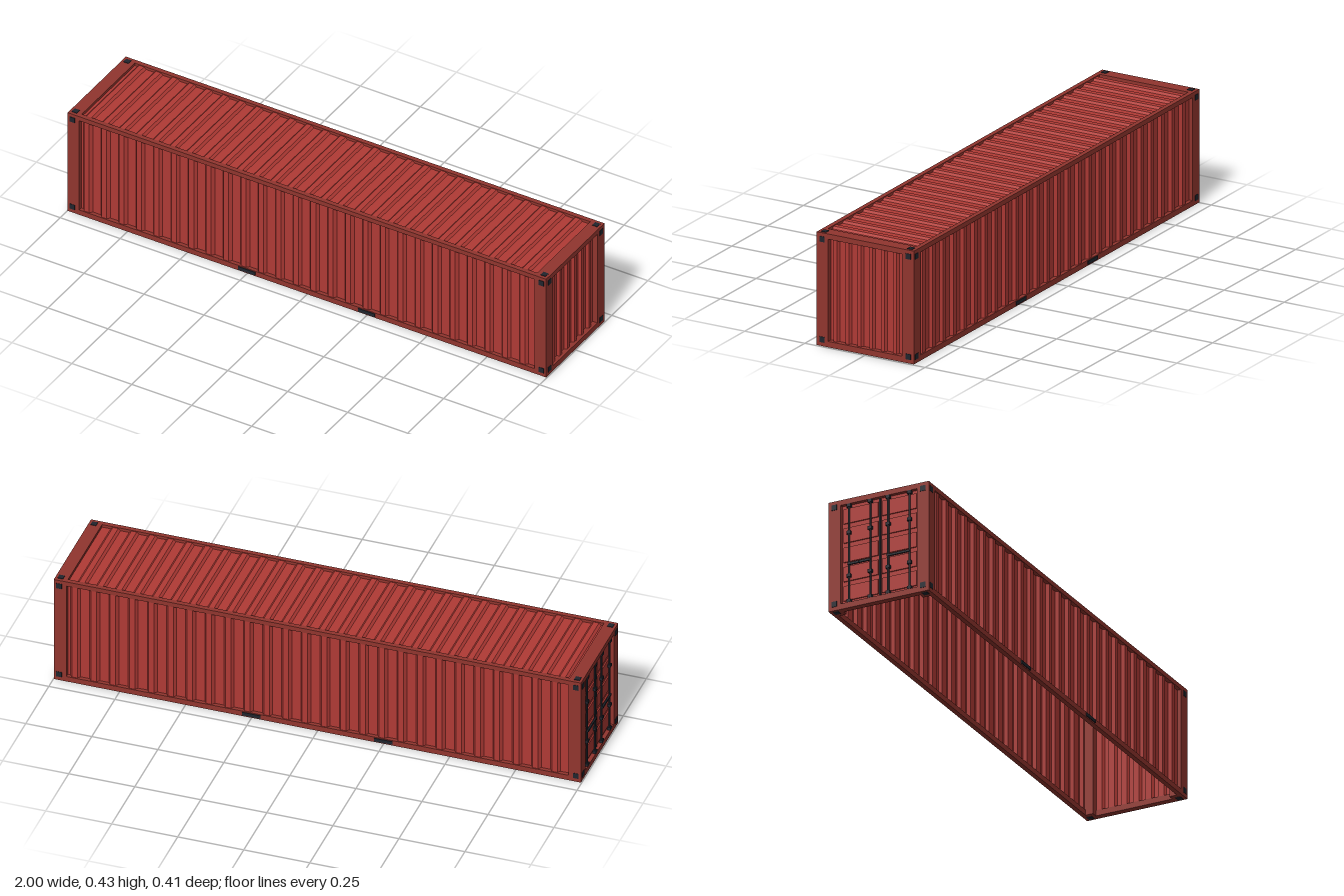
import * as THREE from 'three';

const mat = (name, color, side = THREE.FrontSide) => {
  const m = new THREE.MeshStandardMaterial({ color, side, flatShading: true });
  m.name = name;
  return m;
};

// Corrugated sheet in the xy plane: ribs run along y, the proud faces lie at z = 0
function corrugated(width, height, lead, count, depth) {
  const pitch = (width - lead) / count;
  const profile = [[0, -depth], [lead, -depth]];
  for (let i = 0; i < count; i++) {
    const u = lead + i * pitch;
    profile.push([u + pitch * 0.12, 0], [u + pitch * 0.41, 0], [u + pitch * 0.53, -depth], [u + pitch, -depth]);
  }
  const pos = [];
  const h = height / 2;
  for (let i = 0; i < profile.length - 1; i++) {
    const [a, za] = profile[i], [b, zb] = profile[i + 1];
    const x0 = a - width / 2, x1 = b - width / 2;
    pos.push(x0, -h, za, x1, -h, zb, x1, h, zb, x0, -h, za, x1, h, zb, x0, h, za);
  }
  const g = new THREE.BufferGeometry();
  g.setAttribute('position', new THREE.Float32BufferAttribute(pos, 3));
  g.computeVertexNormals();
  return g;
}

export function createModel() {
  const model = new THREE.Group();
  model.name = 'shippingContainer';
  const panelRed = mat('panelRed', 0xb03a35, THREE.DoubleSide);
  const frameRed = mat('frameRed', 0x91352e);
  const darkSteel = mat('darkSteel', 0x20252d);

  const add = (name, geo, material, x, y, z, parent = model) => {
    const m = new THREE.Mesh(geo, material);
    m.name = name;
    m.position.set(x, y, z);
    parent.add(m);
    return m;
  };
  // Box given by its two extreme corners
  const box = (name, material, x0, x1, y0, y1, z0, z1, parent) =>
    add(name, new THREE.BoxGeometry(x1 - x0, y1 - y0, z1 - z0), material,
      (x0 + x1) / 2, (y0 + y1) / 2, (z0 + z1) / 2, parent);

  const X = 0.998, Z = 0.202, Y0 = 0.002, Y1 = 0.432;
  const postX = 0.95, postZ = 0.154, railLow = 0.024, railHigh = 0.412;

  // Frame: corner posts, long rails and end rails
  for (const sx of [-1, 1]) {
    for (const sz of [-1, 1]) {
      const cx = sx * (X + postX) / 2, cz = sz * (Z + postZ) / 2;
      add('cornerPost', new THREE.BoxGeometry(X - postX, Y1 - Y0, Z - postZ), frameRed, cx, (Y0 + Y1) / 2, cz);
    }
    add('bottomEndRail', new THREE.BoxGeometry(0.025, railLow - Y0, postZ * 2), frameRed, sx * (X - 0.0125), (Y0 + railLow) / 2, 0);
    add('topEndRail', new THREE.BoxGeometry(X - postX, Y1 - railHigh, postZ * 2), frameRed, sx * (X + postX) / 2, (railHigh + Y1) / 2, 0);
  }
  for (const sz of [-1, 1]) {
    const cz = sz * (Z - 0.009);
    add('bottomSideRail', new THREE.BoxGeometry(postX * 2, 0.021, 0.018), frameRed, 0, Y0 + 0.0105, cz);
    add('topSideRail', new THREE.BoxGeometry(postX * 2, 0.018, 0.018), frameRed, 0, Y1 - 0.009, cz);
  }

  // Corrugated walls and roof
  const midY = (0.022 + 0.415) / 2, wallH = 0.395;
  const sideGeo = corrugated(postX * 2, wallH, 0.01, 26, 0.011);
  add('frontWall', sideGeo, panelRed, 0, midY, 0.198);
  add('backWall', sideGeo, panelRed, 0, midY, -0.198).rotation.y = Math.PI;
  add('endWall', corrugated(postZ * 2, 0.39, 0.01, 6, 0.011), panelRed, 0.988, 0.218, 0).rotation.y = Math.PI / 2;
  add('roof', corrugated(postX * 2, 0.37, 0.01, 27, 0.008), panelRed, 0, 0.429, 0).rotation.x = -Math.PI / 2;

  // Double doors with horizontal ribs, lock rods and handles
  const doors = new THREE.Group();
  doors.name = 'doors';
  model.add(doors);
  for (const s of [-1, 1]) {
    const leaf = new THREE.Group();
    leaf.name = s > 0 ? 'frontDoor' : 'backDoor';
    doors.add(leaf);
    const zc = s * 0.0775;
    add('doorPanel', new THREE.BoxGeometry(0.01, 0.388, 0.151), panelRed, -0.978, 0.218, zc, leaf);
    for (let i = 0; i < 5; i++) {
      add('doorRib', new THREE.BoxGeometry(0.005, 0.058, 0.14), panelRed, -0.9855, 0.218 + (i - 2) * 0.076, zc, leaf);
    }
    for (const z of [0.036, 0.122]) {
      add('lockRod', new THREE.CylinderGeometry(0.004, 0.004, 0.396, 8), darkSteel, -0.993, 0.218, s * z, leaf);
      for (const y of [0.03, 0.13, 0.3, 0.406]) {
        add('rodBracket', new THREE.BoxGeometry(0.012, 0.012, 0.016), darkSteel, -0.993, y, s * z, leaf);
      }
      add('doorHandle', new THREE.BoxGeometry(0.006, 0.008, 0.045), darkSteel, -0.997, 0.175, s * (z + (z < 0.1 ? 0.02 : -0.02)), leaf);
    }
  }
  box('doorSeal', darkSteel, -0.988, -0.983, 0.026, 0.41, -0.003, 0.003, doors);

  // Corner casting plates on all outer faces
  const t = 0.004, q = 0.021;
  for (const sx of [-1, 1]) for (const sz of [-1, 1]) {
    const x = sx * 0.978, z = sz * 0.179;
    for (const y of [0.027, 0.408]) {
      add('castingEndPlate', new THREE.BoxGeometry(t, q, q), darkSteel, sx * 0.998, y, z);
      add('castingSidePlate', new THREE.BoxGeometry(q, q, t), darkSteel, x, y, sz * 0.2015);
    }
    add('castingTopPlate', new THREE.BoxGeometry(q, t, q), darkSteel, x, 0.432, z);
    add('castingFoot', new THREE.BoxGeometry(q, t, q), darkSteel, x, t / 2, z);
  }

  // Forklift pockets in the bottom rails
  for (const x of [-0.25, 0.25]) for (const sz of [-1, 1]) {
    add('forkPocket', new THREE.BoxGeometry(0.07, 0.013, 0.006), darkSteel, x, 0.0135, sz * 0.202);
  }
  return model;
}
